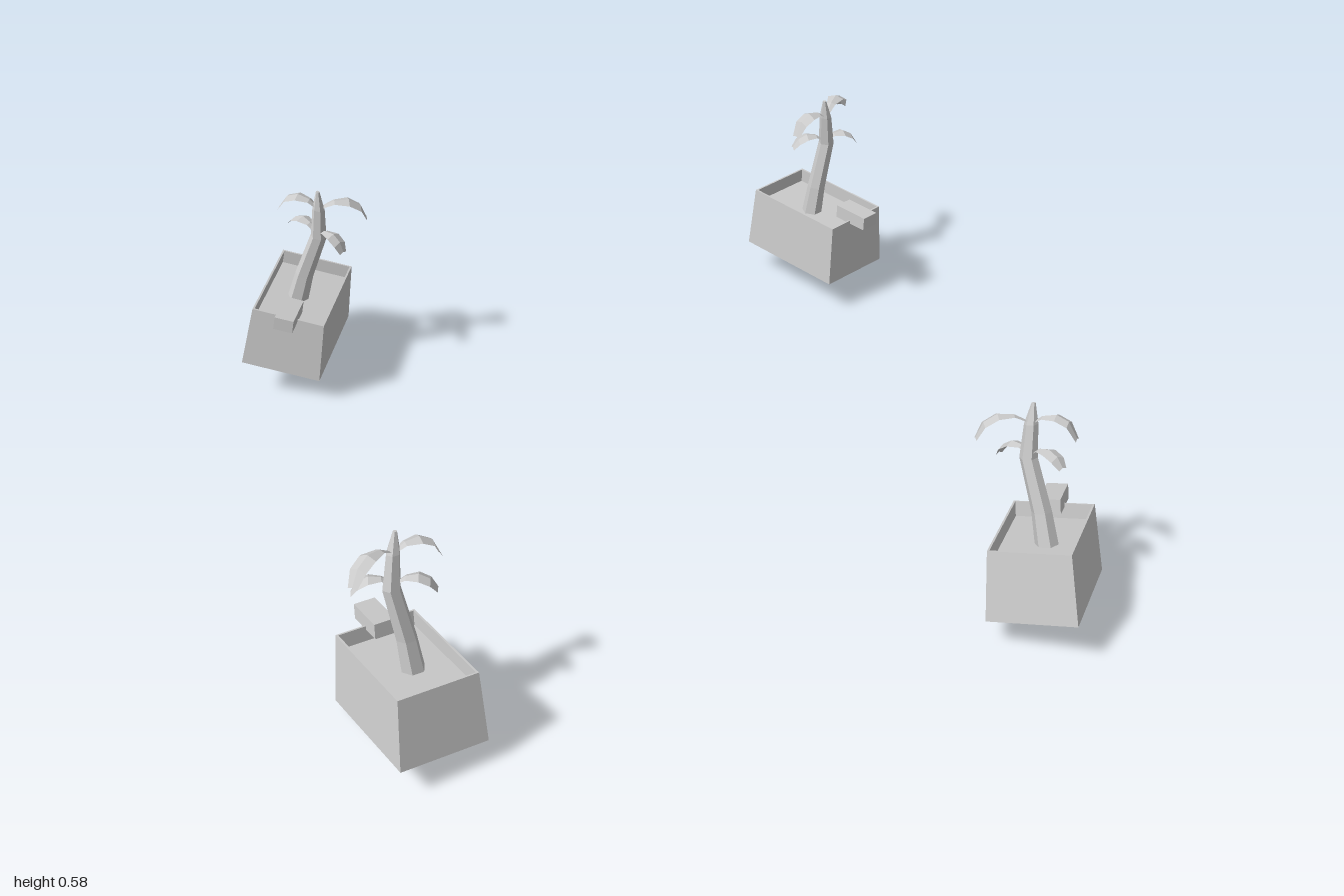
import * as THREE from 'three';

const grey = new THREE.MeshStandardMaterial({ color: 0xcccccc, flatShading: true });
const greyThin = new THREE.MeshStandardMaterial({ color: 0xcccccc, flatShading: true, side: THREE.DoubleSide });
const V = (x, y, z) => new THREE.Vector3(x, y, z);

// Faceted skin over rows of points; rows run upwards, points run anticlockwise seen from above
function skin(rows, closed) {
  const pos = [];
  const tri = (a, b, c) => {
    if (a.equals(b) || b.equals(c) || c.equals(a)) return;
    for (const p of [a, b, c]) pos.push(p.x, p.y, p.z);
  };
  for (let i = 0; i + 1 < rows.length; i++) {
    const n = rows[i].length;
    for (let j = 0; j < (closed ? n : n - 1); j++) {
      const k = (j + 1) % n;
      tri(rows[i][j], rows[i][k], rows[i + 1][k]);
      tri(rows[i][j], rows[i + 1][k], rows[i + 1][j]);
    }
  }
  const geo = new THREE.BufferGeometry();
  geo.setAttribute('position', new THREE.Float32BufferAttribute(pos, 3));
  geo.computeVertexNormals();
  return geo;
}

function mesh(name, geo, material = grey) {
  const m = new THREE.Mesh(geo, material);
  m.name = name;
  return m;
}

const rectRing = ([w, d, y]) => [V(w, y, d), V(w, y, -d), V(-w, y, -d), V(-w, y, d)];

const roundRing = ([x, y, z, r]) => Array.from({ length: 6 }, (_, i) => {
  const a = i * Math.PI / 3;
  return V(x + r * Math.cos(a), y, z - r * Math.sin(a));
});

// Arching paddle-shaped leaf running along +x, folded a little along its rib
function leafGeometry(length, lift, drop) {
  const rows = [[0, 0, 0.006], [0.28, 0.8, 0.013], [0.58, 1, 0.023], [0.84, 0.4, 0.022], [1, -1, 0.013]]
    .map(([t, h, w]) => {
      const x = t * length;
      const y = h < 0 ? -drop : h * lift;
      return [V(x, y - w * 0.35, -w), V(x, y, 0), V(x, y - w * 0.35, w)];
    });
  return skin(rows, false);
}

// Hollow planter that narrows towards the rim, with recessed soil
const potGeometry = skin([
  [0, 0, 0], [0.109, 0.165, 0], [0.099, 0.155, 0.177],
  [0.094, 0.150, 0.177], [0.095, 0.151, 0.138], [0, 0, 0.138],
].map(rectRing), true);

// Bent trunk with a pointed tip
const trunkGeometry = skin([
  [0.012, 0.13, 0.008, 0.029], [0.002, 0.22, 0.004, 0.025], [-0.024, 0.355, 0, 0.022],
  [-0.014, 0.44, 0, 0.017], [-0.006, 0.492, 0, 0.005], [-0.006, 0.492, 0, 0],
].map(roundRing), true);

// Leaves: direction x and z, foot height, length, lift, drop
const leaves = [
  [-0.92, 0.39, 0.445, 0.130, 0.028, 0.025],
  [0.99, 0.10, 0.440, 0.112, 0.026, 0.030],
  [-0.90, -0.42, 0.365, 0.095, 0.022, 0.015],
  [0.85, 0.50, 0.365, 0.095, 0.022, 0.015],
];

function pottedPlant() {
  const g = new THREE.Group();
  g.add(mesh('planter', potGeometry), mesh('trunk', trunkGeometry));
  // Small block resting across the rim at one end
  const block = mesh('rimBlock', new THREE.BoxGeometry(0.052, 0.038, 0.105));
  block.position.set(0, 0.187, -0.155);
  g.add(block);
  for (const [x, z, y, length, lift, drop] of leaves) {
    const leaf = mesh('leaf', leafGeometry(length, lift, drop), greyThin);
    leaf.position.set(-0.017, y, 0);
    leaf.rotation.y = Math.atan2(-z, x);
    g.add(leaf);
  }
  return g;
}

// Placing of each planter: base centre, lengthwise direction, widthwise direction
const places = {
  frontRightPlant: [V(-0.808, 0.057, 0.74), V(0.08, 0.043, 0.309), V(0.21, -0.018, -0.066)],
  frontLeftPlant: [V(0.736, 0.069, 0.816), V(-0.207, 0.076, 0.25), V(0.166, 0.038, 0.118)],
  backRightPlant: [V(-0.77, 0.1, -0.806), V(0.143, 0, -0.295), V(-0.19, 0.043, -0.087)],
  backLeftPlant: [V(0.786, 0.1, -0.79), V(-0.132, 0, -0.29), V(-0.19, 0.003, 0.084)],
};

export function createModel() {
  const model = new THREE.Group();
  model.name = 'plantedPots';
  for (const [name, [base, along, across]] of Object.entries(places)) {
    const z = along.clone().normalize();
    const y = along.clone().cross(across).normalize();
    const x = y.clone().cross(z);
    const plant = pottedPlant();
    plant.name = name;
    plant.position.copy(base);
    plant.quaternion.setFromRotationMatrix(new THREE.Matrix4().makeBasis(x, y, z));
    model.add(plant);
  }
  return model;
}
